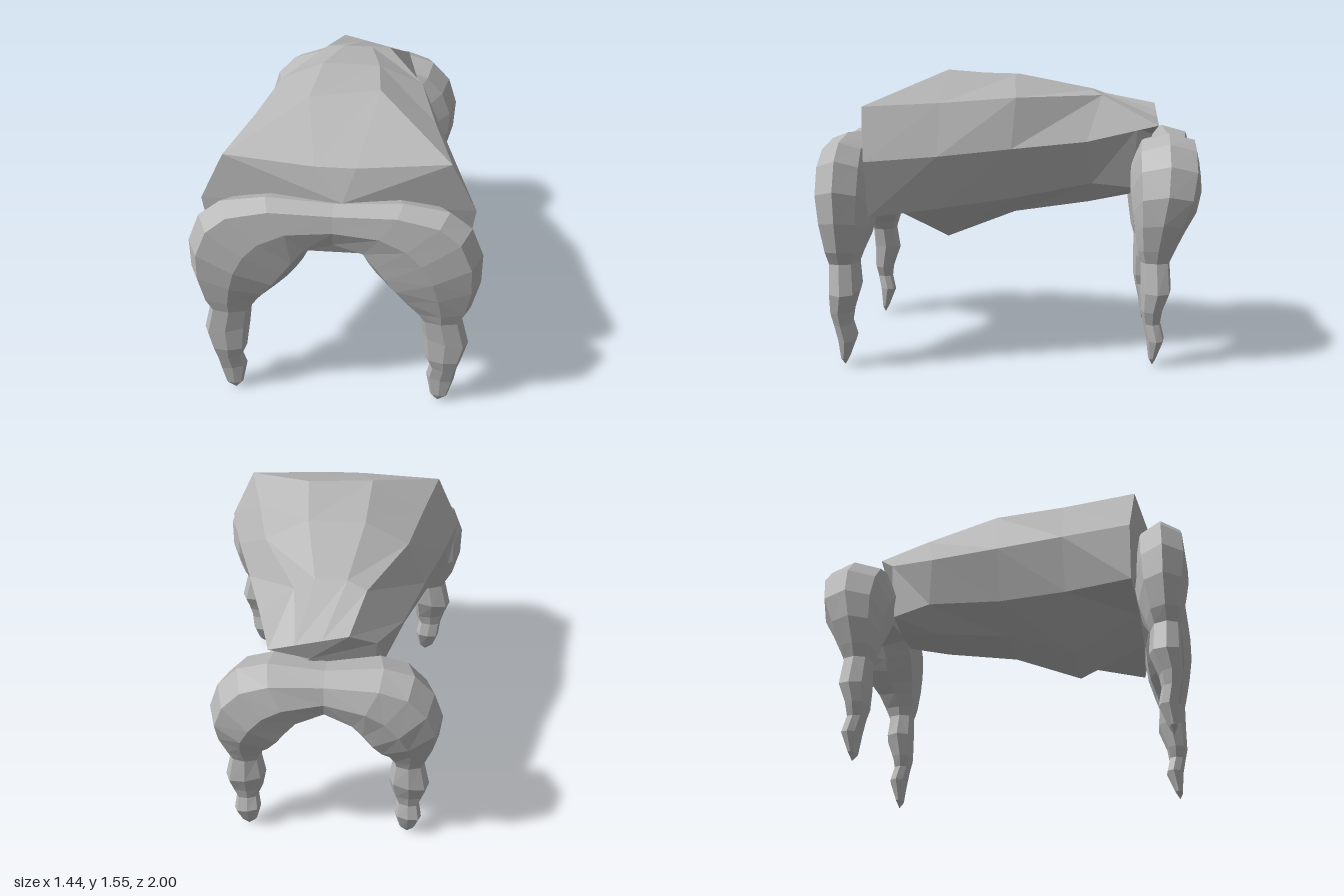
import * as THREE from 'three';

const stone = new THREE.MeshStandardMaterial({ color: 0xb8b8b8, flatShading: true });
stone.name = 'stone grey';

// Skin a list of equal-length rings and close both ends with a fan to a point.
function loft(name, rings, startTip, endTip) {
  const pos = [];
  const tri = (a, b, c) => pos.push(...a, ...b, ...c);
  const n = rings[0].length;
  const last = rings.length - 1;
  for (let j = 0; j < n; j++) {
    const k = (j + 1) % n;
    tri(startTip, rings[0][k], rings[0][j]);
    tri(endTip, rings[last][j], rings[last][k]);
    for (let i = 0; i < last; i++) {
      const a = rings[i][j], b = rings[i][k], c = rings[i + 1][k], d = rings[i + 1][j];
      if (j < n / 2) { tri(a, b, d); tri(b, c, d); }
      else { tri(a, b, c); tri(a, c, d); }
    }
  }
  const geo = new THREE.BufferGeometry();
  geo.setAttribute('position', new THREE.Float32BufferAttribute(pos, 3));
  geo.computeVertexNormals();
  const mesh = new THREE.Mesh(geo, stone);
  mesh.name = name;
  return mesh;
}

// Faceted body: half rings from top to bottom, front to back, mirrored in x.
function makeBody() {
  const halves = [
    [[.1, 1.36, .82], [.55, 1.37, .76], [.68, 1.1, .73], [.64, .81, .72], [.2, .82, .74]],
    [[.18, 1.54, .39], [.46, 1.385, .37], [.59, 1.12, .37], [.5, .84, .37], [.18, .635, .37]],
    [[.15, 1.52, 0], [.38, 1.41, -.02], [.48, 1.15, 0], [.38, .88, 0], [.16, .775, 0]],
    [[.08, 1.44, -.42], [.18, 1.415, -.47], [.37, 1.18, -.39], [.28, .95, -.42], [.14, .83, -.4]],
    [[.1, 1.36, -.77], [.18, 1.36, -.77], [.24, 1.24, -.66], [.22, .92, -.64], [.1, .87, -.63]],
  ];
  const rings = halves.map(h => [...h, ...h.map(([x, y, z]) => [-x, y, z]).reverse()]);
  // The narrow rear edge is off centre and slopes down to the left
  [1, 0, 9, 8].forEach((i, k) => { rings[4][i] = [.28 - .13 * k, 1.26 + .033 * k, -.77]; });
  // The crest is a little uneven too
  rings[1][0] = [.18, 1.55, .36];
  rings[1][9] = [-.17, 1.53, .43];
  return loft('body', rings, [.04, 1.2, .88], [.08, 1.2, -.75]);
}

// Arched pair of legs: each section is outer x,y, inner x,y, centre z, half depth,
// listed from the middle of the arch down to one foot. Lean pushes the inner side in z.
function makeLegPair(name, sections, tip, lean) {
  const SIDES = 8;
  const full = v => Math.sign(v) * Math.abs(v) ** .75; // slightly squared ellipse
  const mirrored = sections.slice(1).reverse().map(([ox, oy, ix, iy, z, h]) => [-ox, oy, -ix, iy, z, h]);
  const rings = [...mirrored, ...sections].map(([ox, oy, ix, iy, z, h]) =>
    Array.from({ length: SIDES }, (_, j) => {
      const a = (j / SIDES) * Math.PI * 2;
      const t = (1 + full(Math.cos(a))) / 2;
      return [ix + (ox - ix) * t, iy + (oy - iy) * t, z + h * (full(Math.sin(a)) + lean * (1 - t))];
    }));
  return loft(name, rings, [-tip[0], tip[1], tip[2]], tip);
}

export function createModel() {
  const model = new THREE.Group();
  model.name = 'fourLeggedCreature';
  model.add(makeBody());

  model.add(makeLegPair('frontLegs', [
    [0, 1.2, 0, .98, .885, .105],
    [.33, 1.22, .12, .93, .885, .12],
    [.55, 1.185, .16, .85, .885, .132],
    [.66, 1.1, .2, .79, .885, .14],
    [.72, .95, .25, .73, .885, .138],
    [.72, .79, .31, .67, .88, .122],
    [.68, .63, .39, .6, .88, .092],
    [.64, .56, .43, .55, .88, .075],
    [.68, .4, .445, .44, .872, .08],
    [.65, .3, .465, .3, .89, .058],
    [.63, .23, .49, .24, .885, .046],
    [.62, .14, .475, .16, .866, .047],
    [.59, .04, .5, .04, .88, .02],
  ], [.54, 0, .88], -.25));

  model.add(makeLegPair('backLegs', [
    [0, 1.2, 0, .97, -.835, .13],
    [.28, 1.22, .12, .91, -.825, .18],
    [.43, 1.175, .16, .84, -.82, .185],
    [.53, 1.07, .2, .78, -.82, .185],
    [.58, .92, .25, .72, -.81, .165],
    [.57, .77, .29, .67, -.785, .13],
    [.53, .63, .33, .6, -.765, .097],
    [.505, .56, .345, .55, -.76, .075],
    [.54, .4, .325, .43, -.765, .08],
    [.52, .3, .35, .3, -.745, .058],
    [.495, .23, .375, .24, -.745, .046],
    [.51, .14, .365, .16, -.765, .047],
    [.48, .04, .395, .04, -.75, .02],
  ], [.44, 0, -.75], .12));

  return model;
}
